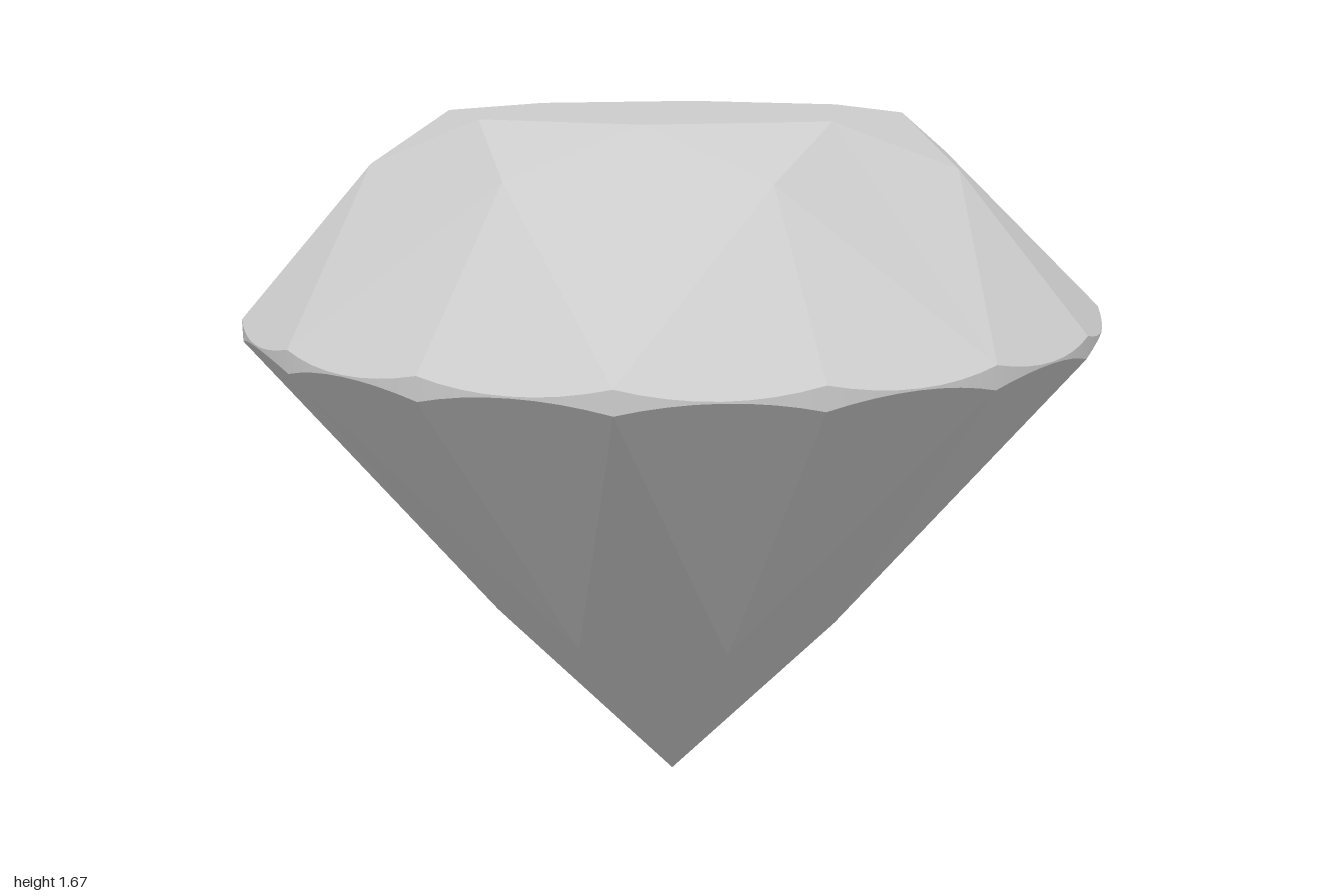
import * as THREE from 'three';

const SIDES = 8;                       // main facets around the stone
const STEP = Math.PI / SIDES;          // 22.5 degrees
const ARC = 8;                         // girdle segments per half facet
const CULET = new THREE.Vector3(0, 0, 0);
const INSIDE = new THREE.Vector3(0, 1, 0);

// Profile heights and radii
const TABLE = { r: 0.53, y: 1.67 };
const STAR = { r: 0.70, y: 1.565 };
const LOWER = { r: 0.444, y: 0.484 };
const GIRDLE_TOP = 1.23, GIRDLE_BOTTOM = 1.18;

const polar = (r, angle, y) => new THREE.Vector3(r * Math.sin(angle), y, r * Math.cos(angle));

// Adds a convex planar facet as a fan, wound to face outwards
function addFacet(list, points) {
  for (let i = 1; i < points.length - 1; i++) {
    const tri = new THREE.Triangle(points[0], points[i], points[i + 1]);
    const outward = tri.getNormal(new THREE.Vector3()).dot(points[0].clone().sub(INSIDE)) > 0;
    list.push(...(outward ? [tri.a, tri.b, tri.c] : [tri.a, tri.c, tri.b]));
  }
}

// Scalloped edge where a half facet's plane cuts the round girdle
function girdleArc(k, tip, rimY) {
  const a = polar(1, k * STEP, rimY), b = polar(1, (k + 1) * STEP, rimY);
  const plane = new THREE.Plane().setFromCoplanarPoints(tip, a, b);
  const arc = [];
  for (let i = 0; i <= ARC; i++) {
    const p = polar(1, (k + i / ARC) * STEP, 0);
    p.y = -(plane.constant + plane.normal.x * p.x + plane.normal.z * p.z) / plane.normal.y;
    arc.push(p);
  }
  return arc;
}

function facetMesh(name, points, material) {
  const geometry = new THREE.BufferGeometry().setFromPoints(points);
  geometry.computeVertexNormals();
  const mesh = new THREE.Mesh(geometry, material);
  mesh.name = name;
  return mesh;
}

export function createModel() {
  const model = new THREE.Group();
  model.name = 'cutGem';
  const faceted = new THREE.MeshStandardMaterial({ color: 0xcccccc, flatShading: true });
  const smooth = new THREE.MeshStandardMaterial({ color: 0xcccccc });

  const table = [], stars = [], bezels = [], upperHalves = [], lowerHalves = [], mains = [], girdle = [];
  const tableRing = [];

  for (let i = 0; i < SIDES; i++) {
    const angle = 2 * i * STEP;
    const corner = polar(TABLE.r, angle, TABLE.y);
    const nextCorner = polar(TABLE.r, angle + 2 * STEP, TABLE.y);
    const [starL, starR] = [-1, 1].map((s) => polar(STAR.r, angle + s * STEP, STAR.y));
    const [lowL, lowR] = [-1, 1].map((s) => polar(LOWER.r, angle + s * STEP, LOWER.y));
    tableRing.push(corner);

    // Star triangles and kite-shaped bezels of the crown
    addFacet(stars, [corner, starR, nextCorner]);
    addFacet(bezels, [corner, starL, polar(1, angle, GIRDLE_TOP), starR]);

    // Long kites of the pavilion
    addFacet(mains, [CULET, lowL, polar(1, angle, GIRDLE_BOTTOM), lowR]);

    // Half facets on both sides of the girdle, and the band between them
    for (const k of [2 * i, 2 * i + 1]) {
      const top = girdleArc(k, starR, GIRDLE_TOP);
      const bottom = girdleArc(k, lowR, GIRDLE_BOTTOM);
      addFacet(upperHalves, [starR, ...top]);
      addFacet(lowerHalves, [lowR, ...bottom]);
      for (let j = 0; j < ARC; j++) {
        addFacet(girdle, [bottom[j], bottom[j + 1], top[j + 1], top[j]]);
      }
    }
  }
  addFacet(table, tableRing);

  const crown = new THREE.Group();
  crown.name = 'crown';
  crown.add(
    facetMesh('table', table, faceted),
    facetMesh('starFacets', stars, faceted),
    facetMesh('bezelFacets', bezels, faceted),
    facetMesh('upperHalfFacets', upperHalves, faceted)
  );

  const pavilion = new THREE.Group();
  pavilion.name = 'pavilion';
  pavilion.add(
    facetMesh('lowerHalfFacets', lowerHalves, faceted),
    facetMesh('mainFacets', mains, faceted)
  );

  // Round girdle with radial normals
  const band = facetMesh('girdle', girdle, smooth);
  const normals = band.geometry.attributes.normal;
  girdle.forEach((p, i) => normals.setXYZ(i, p.x, 0, p.z));

  model.add(crown, band, pavilion);
  return model;
}
